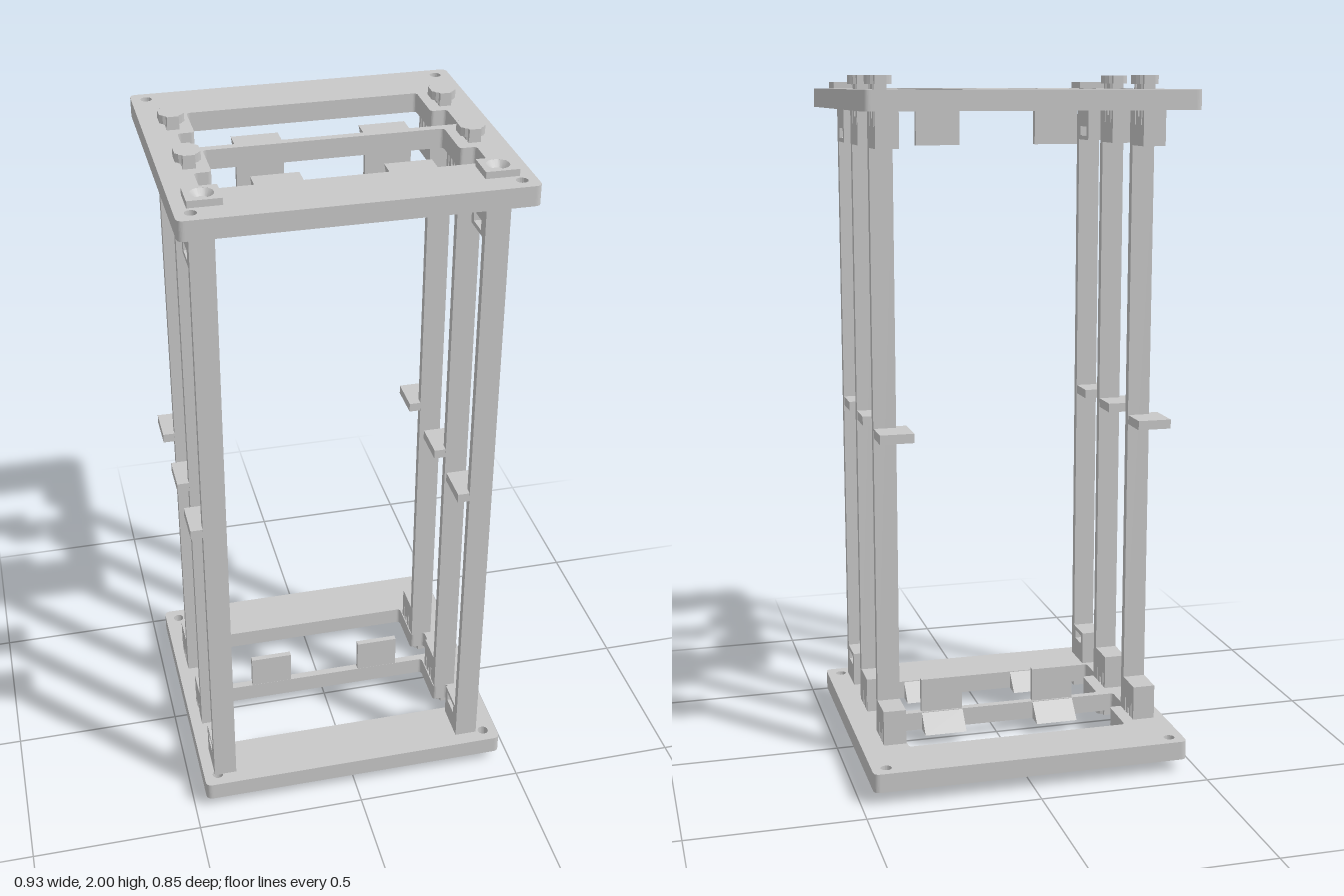
import * as THREE from 'three';
import { toCreasedNormals } from 'three/addons/utils/BufferGeometryUtils.js';

const T0 = 0.038, T1 = 0.093; // plate outer and inner height
const POST_W = 0.066;

export function createModel() {
  const model = new THREE.Group();
  const grey = new THREE.MeshStandardMaterial({ color: 0xc8c8c8 });
  grey.name = 'grey plastic';

  const add = (name, geometry) => {
    const mesh = new THREE.Mesh(geometry, grey);
    mesh.name = name;
    model.add(mesh);
  };
  const box = (name, x0, x1, y0, y1, z0, z1) => {
    const g = new THREE.BoxGeometry(x1 - x0, Math.abs(y1 - y0), z1 - z0);
    add(name, g.translate((x0 + x1) / 2, (y0 + y1) / 2, (z0 + z1) / 2));
  };

  // Outlines run anticlockwise so that hole walls face the right way
  const ccw = (v) => (THREE.ShapeUtils.isClockWise(v) ? v.reverse() : v);
  const plan = (pts) => ccw(pts.map(([x, z]) => new THREE.Vector2(x, -z)));
  const profile = (pts) => ccw(pts.map(([z, y]) => new THREE.Vector2(-z, y)));

  // Trace a plan polygon with rounded corners; points are [x, z]
  const roundPoly = (pts, r, path) => {
    const v = plan(pts);
    v.forEach((p, i) => {
      const a = v[(i + v.length - 1) % v.length], b = v[(i + 1) % v.length];
      const s = p.clone().add(a.clone().sub(p).setLength(r));
      const e = p.clone().add(b.clone().sub(p).setLength(r));
      if (i === 0) path.moveTo(s.x, s.y); else path.lineTo(s.x, s.y);
      path.quadraticCurveTo(p.x, p.y, e.x, e.y);
    });
    path.closePath();
    return path;
  };
  const circle = (x, z, r) => new THREE.Path().absarc(x, -z, r, 0, Math.PI * 2);
  const rect = (x0, x1, z0, z1) => [[x0, z0], [x1, z0], [x1, z1], [x0, z1]];

  // Horizontal slab from a plan shape
  const slab = (name, shape, ya, yb) => {
    const g = new THREE.ExtrudeGeometry(shape, { depth: Math.abs(yb - ya), bevelEnabled: false, curveSegments: 10 });
    add(name, g.rotateX(-Math.PI / 2).translate(0, Math.min(ya, yb), 0));
  };
  // Side profile of [z, y] points, extruded along x
  const sideExtrude = (name, pts, x0, x1, holes = []) => {
    const shape = new THREE.Shape(profile(pts));
    holes.forEach((h) => shape.holes.push(new THREE.Path(profile(h))));
    const g = new THREE.ExtrudeGeometry(shape, { depth: x1 - x0, bevelEnabled: false });
    add(name, g.rotateY(Math.PI / 2).translate(x0, 0, 0));
  };

  // Stepped opening: narrow at the back, wider at the front
  const opening = (z0, zm, z1) => roundPoly([
    [-0.33, z0], [0.33, z0], [0.33, zm], [0.377, zm],
    [0.377, z1], [-0.377, z1], [-0.377, zm], [-0.33, zm],
  ], 0.012, new THREE.Path());

  // Peg head outline: chamfered, with a small step at each corner
  const pegShape = (cx, cz) => {
    const quarter = [[0.034, 0.02], [0.026, 0.027], [0.026, 0.031], [0.018, 0.034], [0.016, 0.042]];
    const pts = [];
    for (const [sx, sz] of [[1, 1], [-1, 1], [-1, -1], [1, -1]]) {
      const q = sx * sz > 0 ? quarter : [...quarter].reverse();
      q.forEach(([x, z]) => pts.push([cx + sx * x, cz + sz * z]));
    }
    return new THREE.Shape(plan(pts));
  };

  for (const top of [false, true]) {
    const Y = (y) => (top ? 2 - y : y);
    const side = top ? 'top' : 'bottom';

    // End plate with two openings and corner screw holes
    const plate = roundPoly(rect(-0.465, 0.465, -0.427, 0.427), 0.02, new THREE.Shape());
    plate.holes.push(opening(-0.258, -0.117, -0.012), opening(0.011, 0.152, 0.256));
    for (const x of [-0.423, 0.423])
      for (const z of [-0.386, 0.384]) plate.holes.push(circle(x, z, 0.016));
    slab(side + 'Plate', plate, Y(T0), Y(T1));

    // Sloped ledges and upright stops beside the openings
    for (const x of [-0.177, 0.175]) {
      for (const z of [-0.012, 0.256]) {
        sideExtrude(side + 'Ledge',
          [[z + 0.002, Y(T0)], [z + 0.002, Y(T1)], [z - 0.052, Y(T0)]], x - 0.064, x + 0.064);
      }
      box(side + 'Stop', x - 0.064, x + 0.064, Y(T1 - 0.01), Y(0.196), -0.007, 0.0105);
    }

    for (const x of [-0.383, 0.381]) {
      // Snap pegs poking out through the plate, split into three prongs
      for (const z of [-0.186, 0.083]) {
        slab(side + 'PegHead', pegShape(x, z), Y(0), Y(0.024));
        for (const [z0, z1] of [[-0.04, -0.028], [-0.019, 0.019], [0.028, 0.04]])
          box(side + 'PegProng', x - 0.017, x + 0.017, Y(0.024), Y(T0 + 0.01), z + z0, z + z1);
      }
      // Square screw collar with countersink
      const collar = roundPoly(rect(x - 0.046, x + 0.046, 0.272, 0.357), 0.002, new THREE.Shape());
      collar.holes.push(circle(x, 0.314, 0.031));
      slab(side + 'Collar', collar, Y(0.019), Y(T0));
      const recess = [[0.031, 0.019], [0.017, 0.036], [0, 0.036]]
        .map(([r, y]) => new THREE.Vector2(r, Y(y)));
      if (!top) recess.reverse();
      const cone = toCreasedNormals(new THREE.LatheGeometry(recess, 24), 0.5);
      add(side + 'Countersink', cone.translate(x, 0, 0.314));
    }
  }

  // Six posts with end blocks, and a small grip tab at mid height
  for (const x0 of [-0.432, 0.333]) {
    [0.385, 0.152, -0.117].forEach((zf, row) => {
      const zi = zf - 0.023, zb = zf - 0.115, b = 0.196, e = T1 - 0.002;
      const outline = [
        [zf, e], [zf, 2 - e], [zb, 2 - e], [zb, 2 - b], [zi, 2 - b], [zi, b], [zb, b], [zb, e],
      ];
      const holes = [];
      const hole = (z0, z1, y0, y1) => {
        for (const f of [(y) => y, (y) => 2 - y])
          holes.push([[z0, f(y0)], [z1, f(y0)], [z1, f(y1)], [z0, f(y1)]]);
      };
      if (row === 0) {
        // Nut pocket, closed halfway, with the screw crossing it
        hole(zf - 0.096, zf - 0.036, 0.155, 0.183);
        for (const y of [0.169, 1.831]) {
          box('pocketFloor', x0 + 0.02, x0 + POST_W - 0.02, y - 0.016, y + 0.016, zf - 0.098, zf - 0.034);
          const screw = new THREE.CylinderGeometry(0.016, 0.016, 0.03, 16);
          add('pocketScrew', screw.translate(x0 + POST_W / 2, y, zf - 0.066));
        }
      } else {
        // Clip slots
        const c = zf - 0.07;
        hole(c - 0.03, c - 0.022, T1, 0.137);
        hole(c + 0.022, c + 0.03, T1, 0.137);
        hole(c - 0.007, c + 0.007, T1, 0.115);
      }
      sideExtrude('post', outline, x0, x0 + POST_W, holes);
      box('gripTab', x0 - 0.034, x0 + POST_W - 0.001, 0.988, 1.015, zb, zf - 0.001);
    });
  }
  return model;
}
